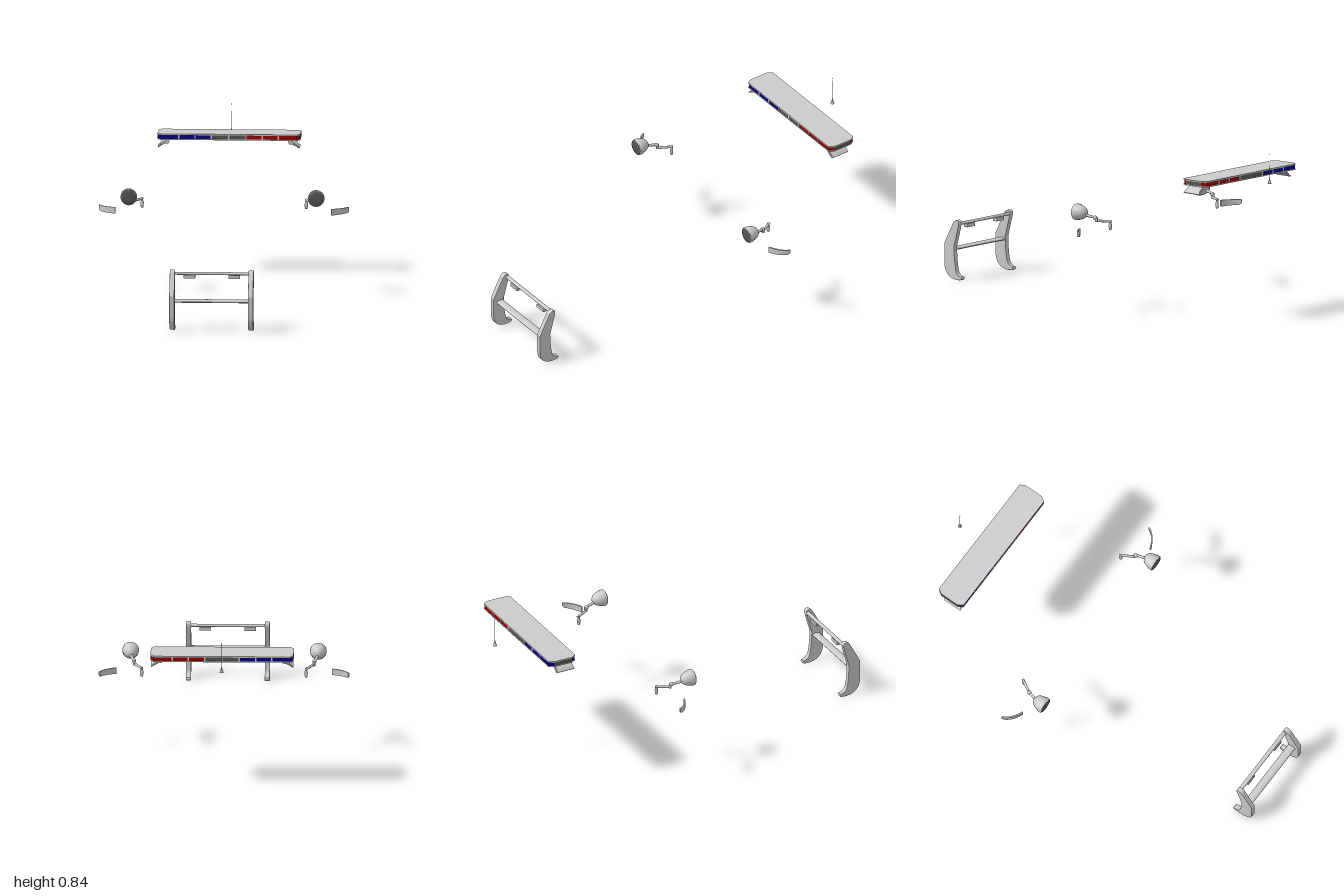
import * as THREE from 'three';

const paint = (color) => new THREE.MeshStandardMaterial({ color });
const grey = paint(0xcccccc);
const dark = paint(0x555555);
const red = paint(0x990000);
const blue = paint(0x000080);
const V = (x, y, z) => new THREE.Vector3(x, y, z);

function add(parent, name, geometry, material, x = 0, y = 0, z = 0) {
  const mesh = new THREE.Mesh(geometry, material);
  mesh.name = name;
  mesh.position.set(x, y, z);
  parent.add(mesh);
  return mesh;
}

// Round bar between two points
function rod(parent, name, a, b, r0, r1 = r0, sides = 12) {
  const dir = b.clone().sub(a);
  const mesh = add(parent, name, new THREE.CylinderGeometry(r1, r0, dir.length(), sides), grey);
  mesh.position.copy(a).add(b).multiplyScalar(0.5);
  mesh.quaternion.setFromUnitVectors(V(0, 1, 0), dir.normalize());
  return mesh;
}

// Both sides of a mirrored part
function bothSides(parent, name, build) {
  for (const s of [1, -1]) {
    const g = new THREE.Group();
    g.name = (s > 0 ? 'left' : 'right') + name;
    build(g);
    g.scale.x = s;
    parent.add(g);
  }
}

// Front push bumper: curved uprights joined by two bars
function pushBumper() {
  const g = new THREE.Group();
  g.name = 'pushBumper';
  const s = new THREE.Shape();
  s.moveTo(-0.915, 0.312);
  s.quadraticCurveTo(-0.897, 0.309, -0.903, 0.285);
  s.lineTo(-0.933, 0.175);
  s.quadraticCurveTo(-0.932, 0.1, -0.922, 0.055);
  s.quadraticCurveTo(-0.915, 0.026, -0.885, 0.022);
  s.quadraticCurveTo(-0.878, 0.014, -0.888, 0.006);
  s.quadraticCurveTo(-0.92, 0, -0.95, 0.01);
  s.quadraticCurveTo(-0.998, 0.03, -0.999, 0.085);
  s.lineTo(-0.999, 0.187);
  s.lineTo(-0.94, 0.298);
  s.quadraticCurveTo(-0.93, 0.312, -0.915, 0.312);
  const plate = new THREE.ExtrudeGeometry(s, {
    depth: 0.02, curveSegments: 8, bevelEnabled: true,
    bevelSize: 0.003, bevelThickness: 0.003, bevelOffset: -0.003, bevelSegments: 2,
  });
  plate.translate(0, 0, -0.01).rotateY(Math.PI / 2);
  for (const side of [1, -1]) {
    add(g, 'upright', plate, grey, side * 0.2, 0, 0);
    add(g, 'markerLight', new THREE.BoxGeometry(0.058, 0.018, 0.024), grey, side * 0.114, 0.277, 0.914);
  }
  const bar = (name, y, z, ry, rz) => {
    const geo = new THREE.CylinderGeometry(1, 1, 0.386, 16).rotateZ(Math.PI / 2).scale(1, ry, rz);
    add(g, name, geo, grey, 0, y, z);
  };
  bar('upperBar', 0.293, 0.912, 0.0075, 0.011);
  bar('lowerBar', 0.159, 0.958, 0.009, 0.021);
  return g;
}

// Plan outline of the light bar between x0 and x1, with corners cut at its ends
function barSlab(x0, x1, inset, height) {
  const X = 0.363 - inset, Z = 0.077 - inset, cx = 0.016, cz = 0.026;
  const halfZ = (x) => Z - cz * Math.max(0, (Math.abs(x) - (X - cx)) / cx);
  const xs = [x0, -X + cx, X - cx, x1].map((x) => Math.min(Math.max(x, x0), x1));
  const ends = [...new Set(xs)];
  const pts = ends.map((x) => new THREE.Vector2(x, -halfZ(x)));
  pts.push(...ends.slice().reverse().map((x) => new THREE.Vector2(x, halfZ(x))));
  return new THREE.ExtrudeGeometry(new THREE.Shape(pts), { depth: height, bevelEnabled: false })
    .rotateX(-Math.PI / 2);
}

// Roof light bar with coloured lenses, dividers and clamp feet
function lightBar() {
  const g = new THREE.Group();
  g.name = 'lightBar';
  add(g, 'basePlate', barSlab(-0.363, 0.363, 0, 0.005), grey, 0, 0.701, 0);
  add(g, 'topCover', barSlab(-0.363, 0.363, 0, 0.006), grey, 0, 0.726, 0);
  const cuts = [-0.361, -0.253, -0.171, -0.088, 0, 0.088, 0.171, 0.253, 0.361];
  for (let i = 0; i < 8; i++) {
    const color = i < 3 ? blue : i < 5 ? dark : red;
    add(g, 'lens', barSlab(cuts[i], cuts[i + 1], 0.002, 0.02), color, 0, 0.706, 0);
    if (i) add(g, 'divider', barSlab(cuts[i] - 0.0035, cuts[i] + 0.0035, 0, 0.02), grey, 0, 0.706, 0);
  }
  for (const side of [1, -1]) {
    add(g, 'endLens', new THREE.BoxGeometry(0.004, 0.02, 0.1), dark, side * 0.3605, 0.716, 0);
  }
  bothSides(g, 'Clamp', (c) => {
    const s = new THREE.Shape();
    s.moveTo(0.298, 0.702);
    s.lineTo(0.306, 0.68);
    s.lineTo(0.33, 0.678);
    s.lineTo(0.345, 0.672);
    s.lineTo(0.358, 0.659);
    s.lineTo(0.36, 0.662);
    s.lineTo(0.347, 0.677);
    s.lineTo(0.328, 0.69);
    s.lineTo(0.31, 0.702);
    add(c, 'clampArm', new THREE.ExtrudeGeometry(s, { depth: 0.09, bevelEnabled: false }), grey, 0, 0, -0.03);
    const lip = add(c, 'clampLip', new THREE.BoxGeometry(0.042, 0.003, 0.102), grey, 0.342, 0.672, 0.015);
    lip.rotation.z = -0.52;
  });
  g.position.z = -0.791;
  return g;
}

// Swivelling spotlight with rear arm and hanging handle (left side)
function spotlight(g) {
  const profile = [[0, -0.175], [0.012, -0.173], [0.024, -0.165], [0.033, -0.152], [0.038, -0.136],
    [0.039, -0.127], [0.042, -0.125], [0.042, -0.108], [0.038, -0.104], [0.037, -0.108]]
    .map(([r, z]) => new THREE.Vector2(r, z));
  const shell = new THREE.LatheGeometry(profile, 28).rotateX(Math.PI / 2);
  add(g, 'lampShell', shell, new THREE.MeshStandardMaterial({ color: 0xcccccc, side: THREE.DoubleSide }), 0.476, 0.508, 0);
  const lens = new THREE.SphereGeometry(0.038, 28, 6, 0, Math.PI * 2, 0, Math.PI / 2)
    .scale(1, 0.15, 1).rotateX(Math.PI / 2);
  add(g, 'lampLens', lens, dark, 0.476, 0.508, -0.107);
  rod(g, 'stem', V(0.474, 0.498, -0.16), V(0.459, 0.488, -0.222), 0.008, 0.006);
  add(g, 'joint', new THREE.SphereGeometry(0.011, 14, 10), grey, 0.458, 0.487, -0.218);
  rod(g, 'jointPost', V(0.456, 0.49, -0.225), V(0.456, 0.466, -0.225), 0.007);
  rod(g, 'arm', V(0.456, 0.471, -0.218), V(0.416, 0.471, -0.291), 0.0065);
  const grip = [[0, 0.424], [0.006, 0.426], [0.008, 0.435], [0.0085, 0.452], [0.005, 0.464], [0.005, 0.475], [0, 0.476]]
    .map(([r, y]) => new THREE.Vector2(r, y));
  add(g, 'handle', new THREE.LatheGeometry(grip, 14), grey, 0.417, 0, -0.284);
}

// Thin curved blade beside the spotlight (left side)
function sideBlade(g) {
  const path = new THREE.QuadraticBezierCurve(
    new THREE.Vector2(0.549, -0.194), new THREE.Vector2(0.615, -0.22), new THREE.Vector2(0.633, -0.265));
  const geo = new THREE.BoxGeometry(1, 1, 1, 14, 1, 1);
  const p = geo.attributes.position;
  for (let i = 0; i < p.count; i++) {
    const t = p.getX(i) + 0.5;
    const c = path.getPoint(t), d = path.getTangent(t), off = p.getZ(i) * 0.007;
    const low = 0.408 + 0.006 * t + 0.012 * Math.max(0, (t - 0.85) / 0.15) ** 2;
    p.setXYZ(i, c.x - d.y * off, p.getY(i) > 0 ? 0.441 : low, c.y + d.x * off);
  }
  geo.computeVertexNormals();
  add(g, 'blade', geo, grey);
}

// Whip antenna behind the light bar
function antenna() {
  const g = new THREE.Group();
  g.name = 'antenna';
  rod(g, 'antennaBase', V(0, 0.688, 0), V(0, 0.702, 0), 0.01, 0.006, 16);
  rod(g, 'antennaCollar', V(0, 0.702, 0), V(0, 0.716, 0), 0.005, 0.002);
  rod(g, 'whip', V(0, 0.71, 0), V(0, 0.84, 0), 0.0014, 0.0009, 8);
  add(g, 'whipTip', new THREE.SphereGeometry(0.0025, 10, 8), grey, 0, 0.841, 0);
  g.position.z = -0.99;
  return g;
}

export function createModel() {
  const model = new THREE.Group();
  model.name = 'vehicleEquipment';
  model.add(pushBumper(), lightBar(), antenna());
  bothSides(model, 'Spotlight', spotlight);
  bothSides(model, 'SideBlade', sideBlade);
  return model;
}
